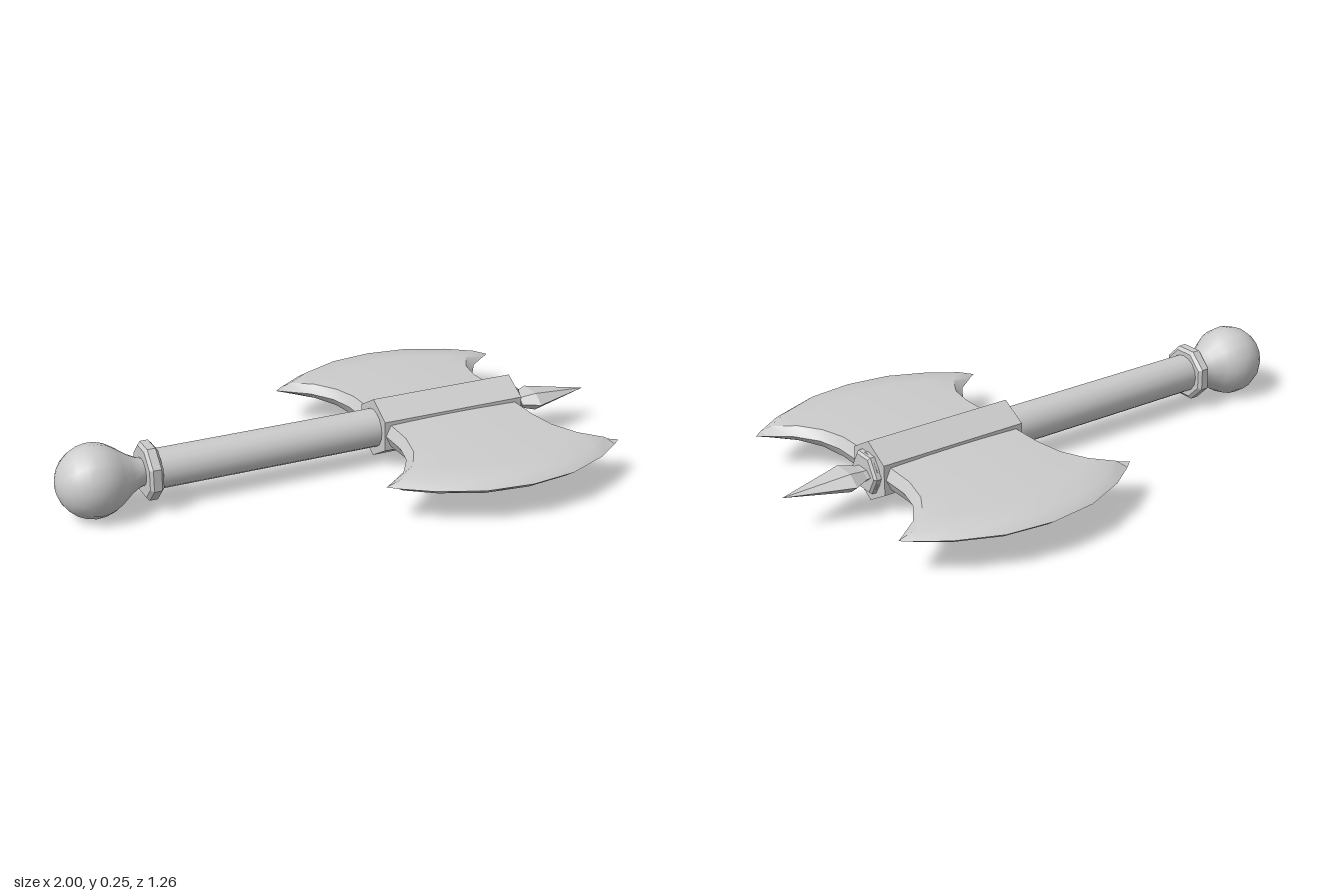
import * as THREE from 'three';
import { toCreasedNormals } from 'three/addons/utils/BufferGeometryUtils.js';

const AXIS_Y = 0.128;
const material = new THREE.MeshStandardMaterial({ color: 0xcccccc });

function part(name, geometry, crease) {
  const mesh = new THREE.Mesh(toCreasedNormals(geometry, crease), material);
  mesh.name = name;
  return mesh;
}

// Turned part along x from [x, radius] pairs; start turns its corners
function turned(name, profile, sides, start = 0, crease = 0.6) {
  const points = profile.map(([x, r]) => new THREE.Vector2(r, x));
  const geometry = new THREE.LatheGeometry(points, sides, start);
  geometry.rotateZ(-Math.PI / 2);
  return part(name, geometry, crease);
}

// Blade growing towards +z: closed rings that widen and bow out to the cutting edge
function bladeGeometry() {
  // z at the sides, half width, bow at the centre, half thickness
  const rows = [
    [0.05, 0.265, 0, 0.044],
    [0.2, 0.267, 0.03, 0.041],
    [0.29, 0.29, 0.09, 0.035],
    [0.37, 0.342, 0.135, 0.03],
    [0.428, 0.415, 0.168, 0.024],
    [0.45, 0.445, 0.18, 0],
  ];
  const columns = [-1, -0.93, -0.71, -0.37, 0, 0.37, 0.71, 0.93, 1];
  const n = columns.length;
  // Ring: over the top from -x to +x, then back underneath
  const ring = [
    ...columns.map((t) => [t, 1]),
    ...columns.slice(1, -1).reverse().map((t) => [t, -1]),
  ];
  const positions = [];
  const indices = [];
  for (const [z, width, bow, thick] of rows) {
    for (const [t, side] of ring) {
      const y = Math.abs(t) === 1 ? 0 : side * thick * (1 - 0.12 * t * t);
      positions.push(0.41 + width * t, y, z + bow * (1 - Math.abs(t) ** 2.2));
    }
  }
  const count = ring.length;
  for (let r = 0; r < rows.length - 1; r++) {
    for (let i = 0; i < count; i++) {
      const j = (i + 1) % count;
      const a = r * count + i, b = r * count + j;
      const c = b + count, d = a + count;
      indices.push(a, d, b, b, d, c);
    }
  }
  const geometry = new THREE.BufferGeometry();
  geometry.setAttribute('position', new THREE.Float32BufferAttribute(positions, 3));
  geometry.setIndex(indices);
  return geometry;
}

export function createModel() {
  const axe = new THREE.Group();
  axe.name = 'doubleBladedAxe';

  // Ball pommel flowing into a narrow neck
  const pommel = [];
  for (let i = 0; i <= 9; i++) {
    const a = (i / 9) * 2.25;
    pommel.push([-0.874 - 0.126 * Math.cos(a), 0.126 * Math.sin(a)]);
  }
  pommel.push([-0.755, 0.068], [-0.725, 0.052], [-0.7, 0.046]);
  axe.add(turned('pommel', pommel, 16));

  // Chamfered nut between pommel and handle
  axe.add(turned('handleNut', [
    [-0.708, 0], [-0.708, 0.088], [-0.698, 0.1], [-0.67, 0.1], [-0.66, 0.088], [-0.66, 0],
  ], 8, Math.PI / 8, 0.3));

  axe.add(turned('handle', [[-0.69, 0], [-0.69, 0.068], [0.69, 0.068], [0.69, 0]], 16));

  // Six-sided socket with a ridge on top
  axe.add(turned('socket', [
    [0.14, 0], [0.14, 0.106], [0.682, 0.106], [0.682, 0],
  ], 6, Math.PI / 2, 0.3));

  // End nut with flats on top
  axe.add(turned('endNut', [
    [0.67, 0], [0.67, 0.075], [0.698, 0.075], [0.706, 0.066], [0.706, 0],
  ], 6, 0, 0.3));

  // Flattened spear point
  const spike = turned('spike', [
    [0.69, 0], [0.69, 0.045], [0.72, 0.05], [0.775, 0.081], [1, 0],
  ], 6, 0, 0.3);
  spike.scale.y = 0.45;
  axe.add(spike);

  // Matching blades on both sides
  for (const side of [1, -1]) {
    const geometry = bladeGeometry();
    if (side < 0) geometry.rotateX(Math.PI);
    axe.add(part(side > 0 ? 'frontBlade' : 'backBlade', geometry, 0.6));
  }

  for (const mesh of axe.children) mesh.position.y = AXIS_Y;
  return axe;
}
